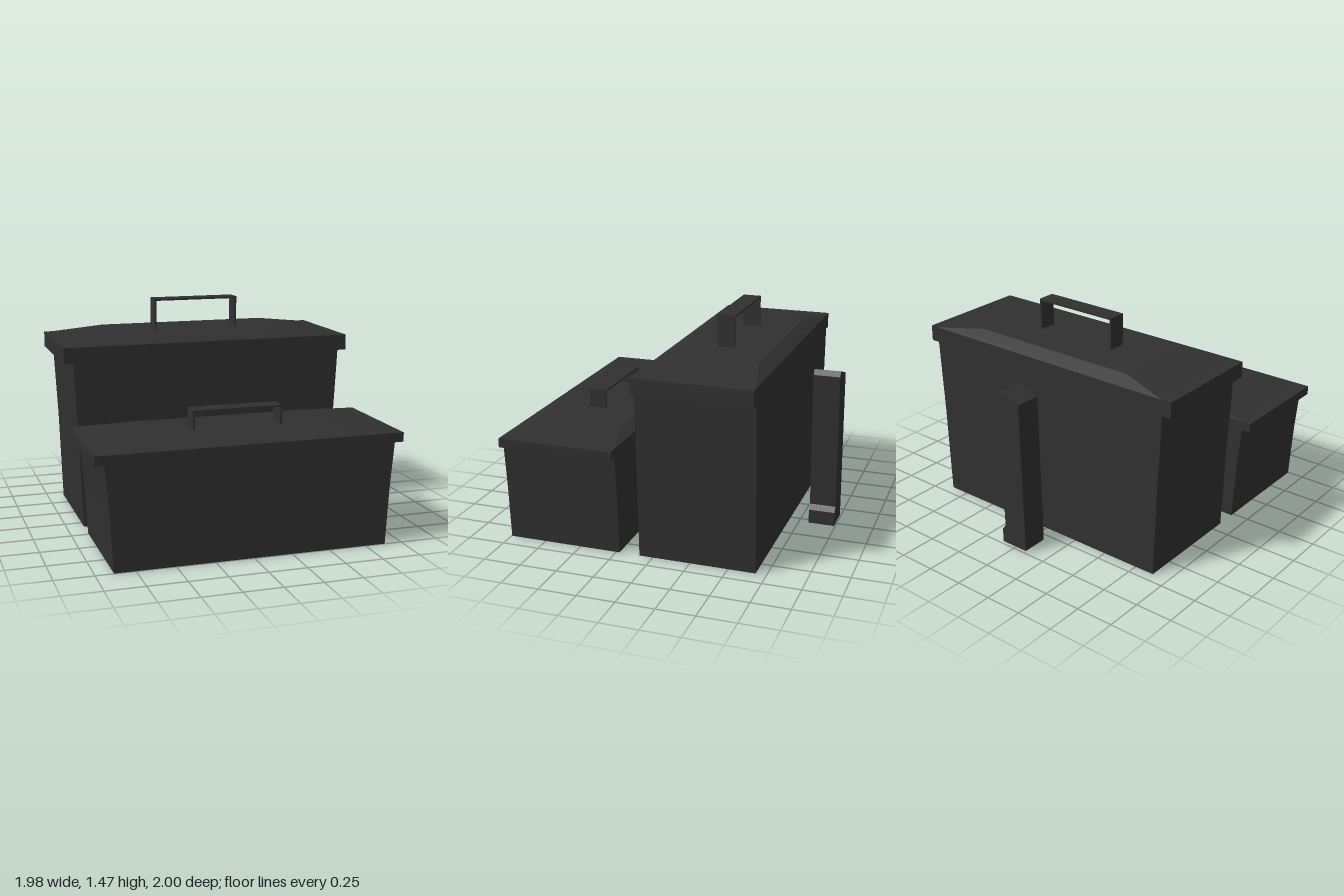
import * as THREE from 'three';

const charcoal = new THREE.MeshStandardMaterial({ color: 0x303030 });
charcoal.name = 'charcoal';

function addMesh(parent, name, geometry) {
  const mesh = new THREE.Mesh(geometry, charcoal);
  mesh.name = name;
  parent.add(mesh);
  return mesh;
}

// Extrudes an x-y outline along z, centred on z
function prism(points, depth, z) {
  const shape = new THREE.Shape(points.map(([x, y]) => new THREE.Vector2(x, y)));
  const geometry = new THREE.ExtrudeGeometry(shape, { depth, bevelEnabled: false });
  return geometry.translate(0, 0, z - depth / 2);
}

// Box whose upper face is pulled in to a smaller rectangle
function hip(halfX, halfZ, topX, topZ, y0, y1, z) {
  const geometry = new THREE.BoxGeometry(halfX * 2, y1 - y0, halfZ * 2);
  const p = geometry.attributes.position;
  for (let i = 0; i < p.count; i++) {
    if (p.getY(i) > 0) {
      p.setX(i, Math.sign(p.getX(i)) * topX);
      p.setZ(i, Math.sign(p.getZ(i)) * topZ);
    }
  }
  geometry.translate(0, (y0 + y1) / 2, z);
  const flat = geometry.toNonIndexed();
  flat.computeVertexNormals();
  return flat;
}

function createBin(name, { z, rimY, slopeY, topY, handleY }) {
  const bin = new THREE.Group();
  bin.name = name;
  const depth = 0.77;

  // Body, flaring slightly toward the rim on its short ends
  const side = [[0.885, 0], [0.905, rimY * 0.56], [0.93, rimY]];
  const mirrored = side.map(([x, y]) => [-x, y]).reverse();
  addMesh(bin, 'body', prism([...side, ...mirrored], depth, z));

  // Lid rim overhanging the ends, with a shallow hipped top
  const rim = addMesh(bin, 'lidRim', new THREE.BoxGeometry(1.98, slopeY - rimY, depth));
  rim.position.set(0, (rimY + slopeY) / 2, z);
  addMesh(bin, 'lidTop', hip(0.93, depth / 2, 0.59, depth / 2 - 0.09, slopeY, topY, z));

  // Thin strap handle
  const w = 0.295, t = 0.012;
  addMesh(bin, 'handle', prism([
    [w, topY], [w, handleY], [-w, handleY], [-w, topY],
    [-w + t, topY], [-w + t, handleY - t], [w - t, handleY - t], [w - t, topY],
  ], 0.12, z));
  return bin;
}

export function createModel() {
  const model = new THREE.Group();
  model.name = 'storageBins';

  model.add(createBin('lowBin', { z: 0.612, rimY: 0.665, slopeY: 0.725, topY: 0.755, handleY: 0.88 }));
  model.add(createBin('tallBin', { z: -0.295, rimY: 1.11, slopeY: 1.215, topY: 1.26, handleY: 1.47 }));

  // Free-standing post behind the bins, with a sloped cap and a small foot
  addMesh(model, 'post', prism([
    [-0.105, 0.02], [0.09, 0.02], [0.09, 0.115], [0.065, 0.15],
    [0.09, 1.065], [0.07, 1.1], [-0.085, 1.05], [-0.105, 0.12],
  ], 0.175, -0.9125));

  return model;
}
